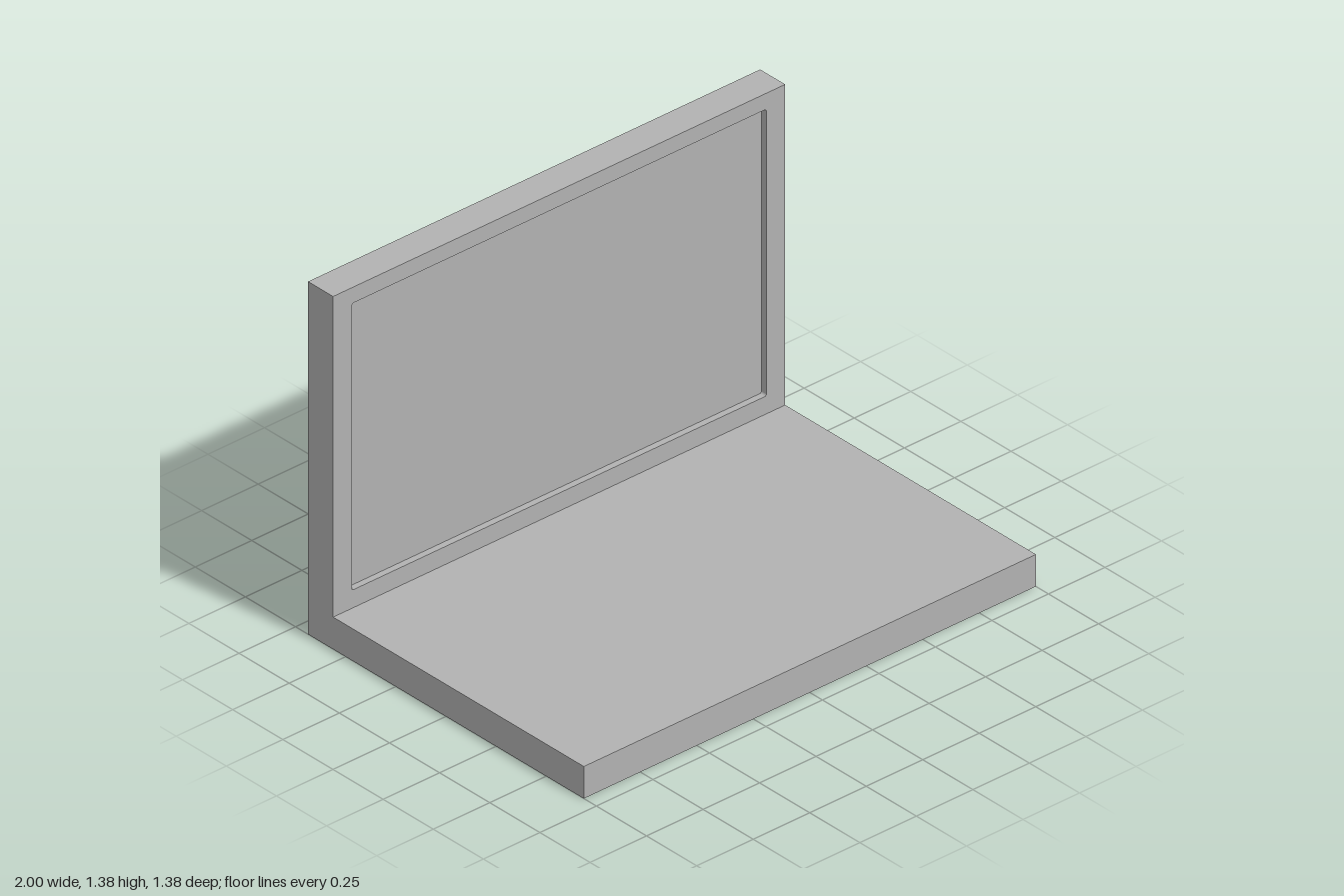
import * as THREE from 'three';

const WIDTH = 2, HEIGHT = 1.375, THICK = 0.125;
const FRONT = 0.6875, BACK = -0.6875;
const LID_FRONT = -0.5625, RECESS = 0.025;

// Rectangle outline with slightly rounded corners
function roundedRect(path, x0, y0, x1, y1, r) {
  path.moveTo(x0 + r, y0);
  path.lineTo(x1 - r, y0);
  path.absarc(x1 - r, y0 + r, r, -Math.PI / 2, 0);
  path.lineTo(x1, y1 - r);
  path.absarc(x1 - r, y1 - r, r, 0, Math.PI / 2);
  path.lineTo(x0 + r, y1);
  path.absarc(x0 + r, y1 - r, r, Math.PI / 2, Math.PI);
  path.lineTo(x0, y0 + r);
  path.absarc(x0 + r, y0 + r, r, Math.PI, Math.PI * 1.5);
  return path;
}

export function createModel() {
  const model = new THREE.Group();
  model.name = 'laptop';
  const grey = new THREE.MeshStandardMaterial({ color: 0xb2b2b2 });
  grey.name = 'grey';

  // Keyboard base and lid back: one L-shaped side profile drawn as (-z, y)
  const lidBack = LID_FRONT - RECESS;
  const profile = new THREE.Shape([
    [-FRONT, 0], [-BACK, 0], [-BACK, HEIGHT],
    [-lidBack, HEIGHT], [-lidBack, THICK], [-FRONT, THICK],
  ].map(([a, b]) => new THREE.Vector2(a, b)));
  const bodyGeometry = new THREE.ExtrudeGeometry(profile, { depth: WIDTH, bevelEnabled: false });
  bodyGeometry.translate(0, 0, -WIDTH / 2).rotateY(Math.PI / 2);
  const body = new THREE.Mesh(bodyGeometry, grey);
  body.name = 'baseAndLid';
  model.add(body);

  // Raised frame around the recessed screen
  const frame = new THREE.Shape([
    [-WIDTH / 2, THICK], [WIDTH / 2, THICK], [WIDTH / 2, HEIGHT], [-WIDTH / 2, HEIGHT],
  ].map(([a, b]) => new THREE.Vector2(a, b)));
  frame.holes.push(roundedRect(new THREE.Path(), -0.917, 0.195, 0.917, 1.313, 0.008));
  const bezel = new THREE.Mesh(
    new THREE.ExtrudeGeometry(frame, { depth: RECESS, bevelEnabled: false, curveSegments: 4 }), grey);
  bezel.position.z = lidBack;
  bezel.name = 'screenBezel';
  model.add(bezel);

  return model;
}
